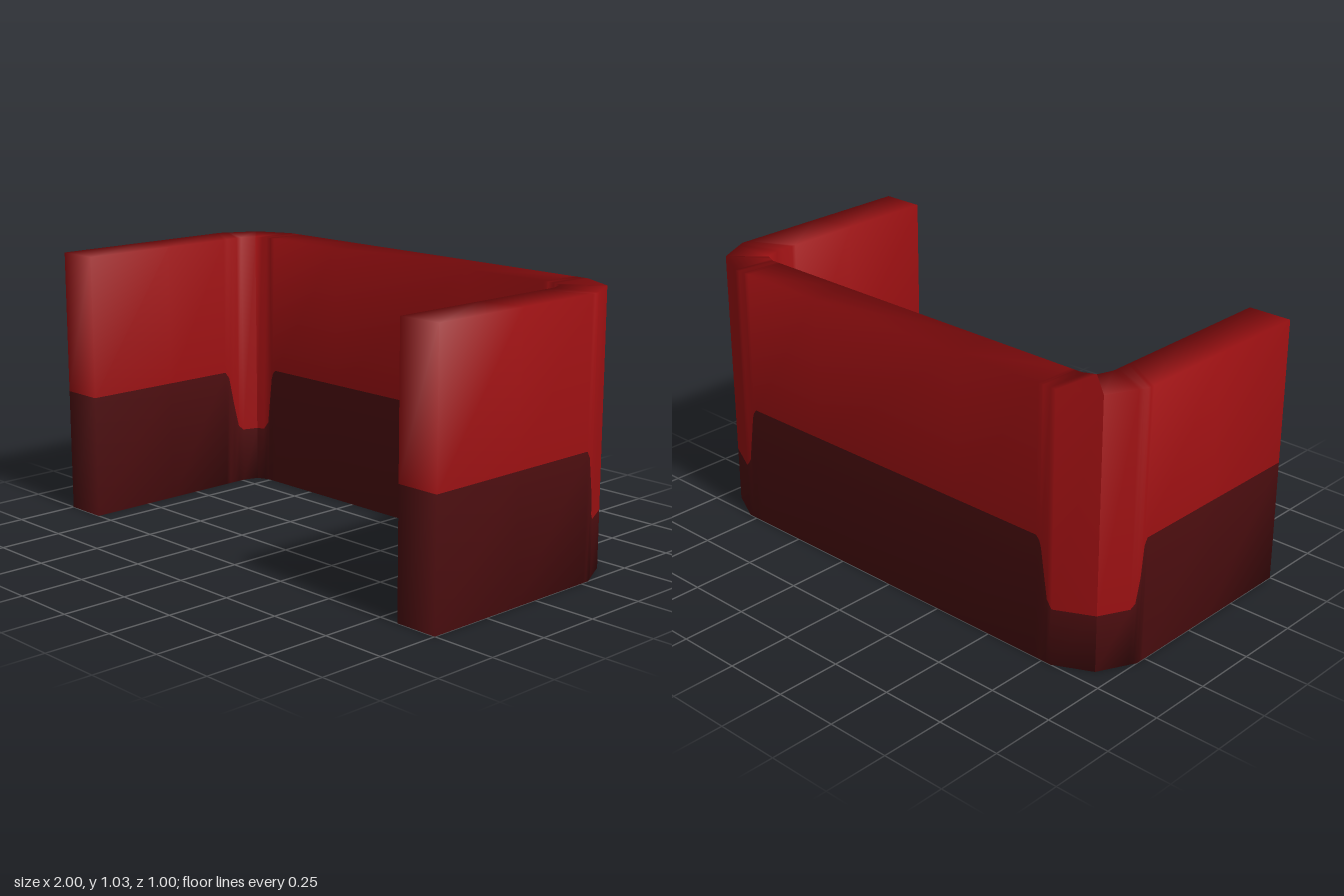
import * as THREE from 'three';

const HEIGHT = 1.035;

// Stations along the wall: [outerX, outerZ, innerX, innerZ, height of the dark base]
const ARM = [
  [1, 0.5, 0.83, 0.5, 0.48],
  [1, 0.1, 0.83, 0.12, 0.48],
  [1, -0.262, 0.83, -0.165, 0.48],
  [1, -0.276, 0.83, -0.185, 0.455],
  [1, -0.29, 0.83, -0.21, 0.34],
  [0.993, -0.304, 0.83, -0.235, 0.24],
  [0.985, -0.32, 0.83, -0.26, 0.22],
  [0.93, -0.43, 0.81, -0.32, 0.22],
];
const HALF_BACK = [
  [0.93, -0.43, 0.81, -0.32, 0.22],
  [0.79, -0.5, 0.78, -0.332, 0.22],
  [0.768, -0.5, 0.762, -0.34, 0.25],
  [0.738, -0.5, 0.738, -0.34, 0.44],
  [0.73, -0.5, 0.73, -0.34, 0.465],
  [0.715, -0.5, 0.715, -0.34, 0.48],
  [0.35, -0.5, 0.35, -0.34, 0.48],
];

const mirrored = (stations) =>
  stations.map(([ox, oz, ix, iz, b]) => [-ox, oz, -ix, iz, b]).reverse();

// Lofts a six-point wall section; group 0 is the upper part, group 1 the base
function wallGeometry(stations, capStart, capEnd) {
  const positions = [];
  const upper = [];
  const base = [];
  const quad = (list, a, b, c, d) => list.push(a, b, c, a, c, d);

  for (const [ox, oz, ix, iz, b] of stations) {
    positions.push(ox, 0, oz, ox, b, oz, ox, HEIGHT, oz);
    positions.push(ix, HEIGHT, iz, ix, b, iz, ix, 0, iz);
  }
  for (let i = 0; i < stations.length - 1; i++) {
    const p = i * 6;
    const q = p + 6;
    for (let k = 0; k < 6; k++) {
      const n = (k + 1) % 6;
      quad(k >= 1 && k <= 3 ? upper : base, p + k, q + k, q + n, p + n);
    }
  }
  // Closed faces at the free ends of the arms
  if (capStart) {
    quad(base, 5, 0, 1, 4);
    quad(upper, 4, 1, 2, 3);
  }
  if (capEnd) {
    const e = (stations.length - 1) * 6;
    quad(base, e, e + 5, e + 4, e + 1);
    quad(upper, e + 1, e + 4, e + 3, e + 2);
  }

  const geometry = new THREE.BufferGeometry();
  geometry.setAttribute('position', new THREE.Float32BufferAttribute(positions, 3));
  geometry.setIndex([...upper, ...base]);
  geometry.addGroup(0, upper.length, 0);
  geometry.addGroup(upper.length, base.length, 1);
  geometry.computeVertexNormals();
  return geometry;
}

export function createModel() {
  const red = new THREE.MeshStandardMaterial({ color: 0x9c1012 });
  red.name = 'red';
  const darkRed = new THREE.MeshStandardMaterial({ color: 0x4e0e10 });
  darkRed.name = 'darkRed';

  const model = new THREE.Group();
  model.name = 'wrapAroundScreen';
  const add = (name, geometry) => {
    const mesh = new THREE.Mesh(geometry, [red, darkRed]);
    mesh.name = name;
    model.add(mesh);
  };

  // Two side panels and the back panel, meeting in a crease at each corner
  add('leftPanel', wallGeometry(ARM, true, false));
  add('backPanel', wallGeometry([...HALF_BACK, ...mirrored(HALF_BACK)], false, false));
  add('rightPanel', wallGeometry(mirrored(ARM), false, true));
  return model;
}
